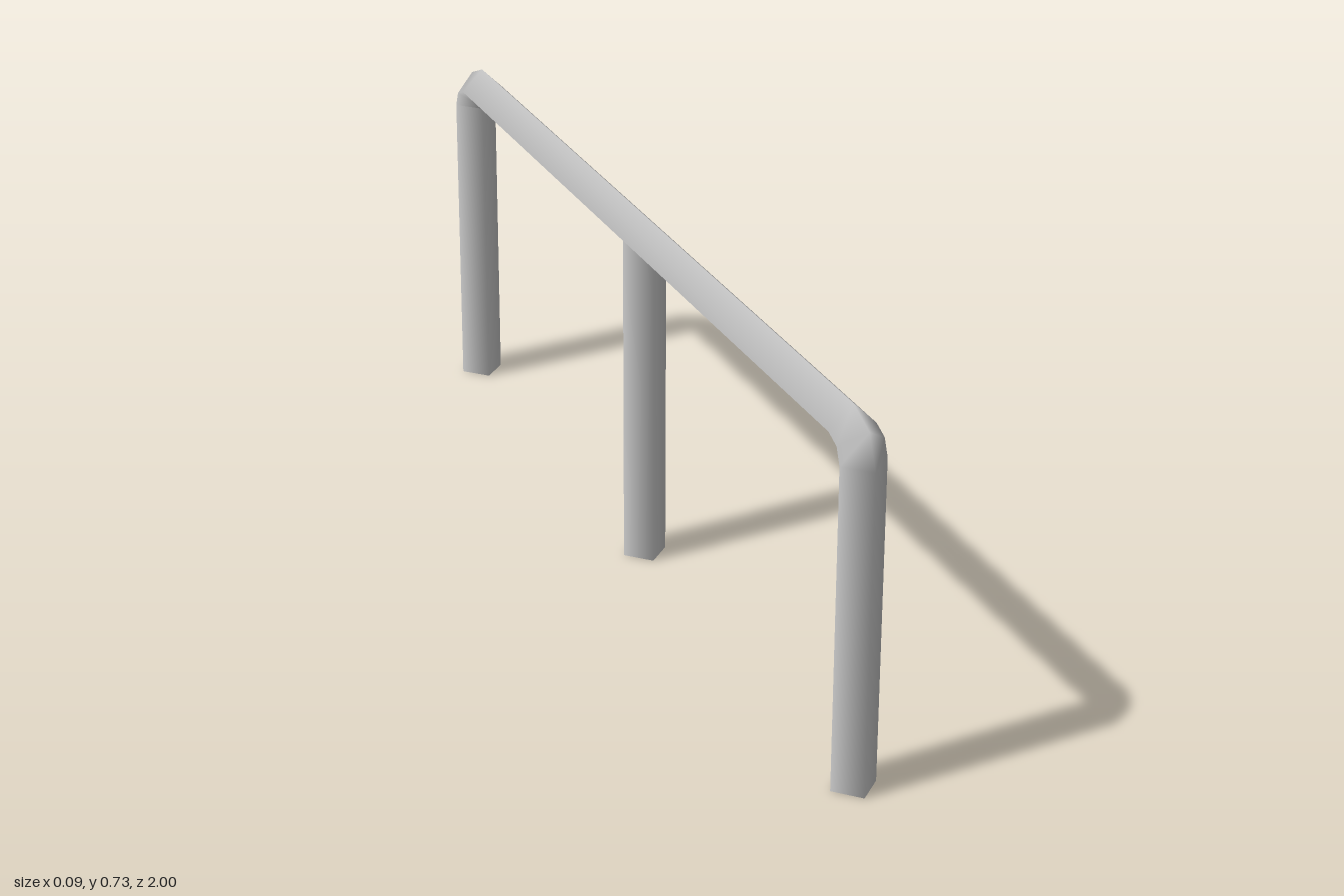
import * as THREE from 'three';

const R = 0.045; // tube radius
const SIDES = 4; // diamond cross-section
const PIVOT_Y = 0.637; // inner corner of each bend
const PIVOT_Z = 0.91;

const material = new THREE.MeshStandardMaterial({ color: 0xcccccc, side: THREE.DoubleSide });

// Open tube through rings { y, z, angle }; angle turns the outward direction from +z to +y.
// A ring with mitre lifts its side corners to fit against the rail.
function tube(name, rings) {
  const positions = [], normals = [], indices = [];
  rings.forEach(({ y, z, angle, mitre = 0 }, i) => {
    for (let j = 0; j < SIDES; j++) {
      const a = (j / SIDES) * Math.PI * 2;
      const nx = Math.sin(a);
      const ny = Math.cos(a) * Math.sin(angle);
      const nz = Math.cos(a) * Math.cos(angle);
      positions.push(nx * R, y + ny * R + mitre * Math.abs(nx * R), z + nz * R);
      normals.push(nx, ny, nz);
      if (i === 0) continue;
      const k = (j + 1) % SIDES, p = (i - 1) * SIDES, q = i * SIDES;
      indices.push(p + j, p + k, q + k, p + j, q + k, q + j);
    }
  });
  const geometry = new THREE.BufferGeometry();
  geometry.setAttribute('position', new THREE.Float32BufferAttribute(positions, 3));
  geometry.setAttribute('normal', new THREE.Float32BufferAttribute(normals, 3));
  geometry.setIndex(indices);
  const mesh = new THREE.Mesh(geometry, material);
  mesh.name = name;
  return mesh;
}

// Rings of one bend, swept around its inner corner
function bend(pivotZ, startAngle) {
  return [0, 1, 2].map((i) => {
    const angle = startAngle + (i * Math.PI) / 4;
    return { y: PIVOT_Y + R * Math.sin(angle), z: pivotZ + R * Math.cos(angle), angle };
  });
}

export function createModel() {
  const group = new THREE.Group();
  group.name = 'railing';

  // One bent pipe: front leg, top rail, back leg
  group.add(tube('bentRail', [
    { y: 0, z: PIVOT_Z + R, angle: 0 },
    ...bend(PIVOT_Z, 0),
    ...bend(-PIVOT_Z, Math.PI / 2),
    { y: 0, z: -PIVOT_Z - R, angle: Math.PI },
  ]));

  // Middle post, notched under the rail
  group.add(tube('middlePost', [
    { y: 0, z: 0, angle: 0 },
    { y: PIVOT_Y, z: 0, angle: 0, mitre: 1 },
  ]));

  return group;
}
